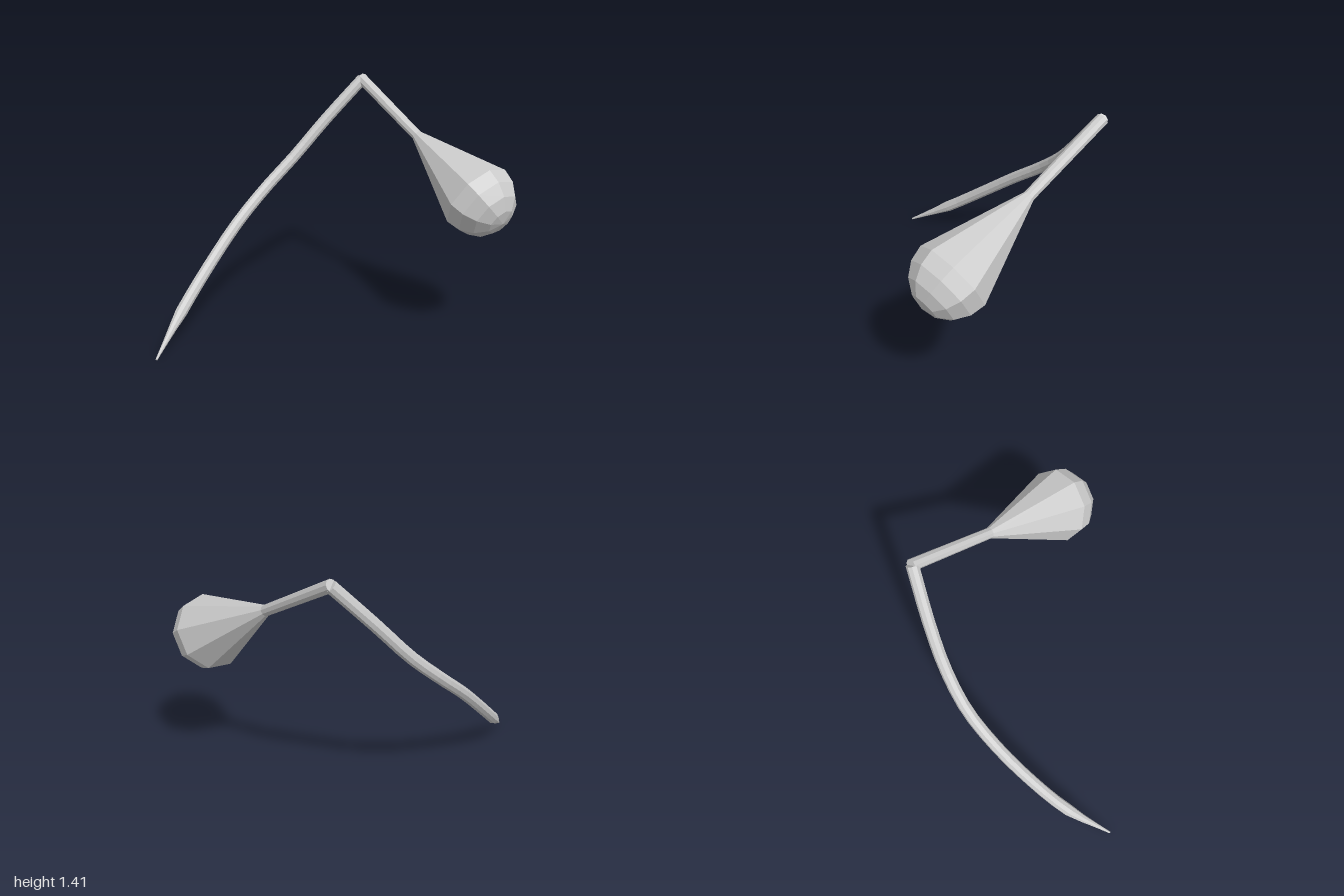
import * as THREE from 'three';

const SIDES = 9;
const V = (x, y, z) => new THREE.Vector3(x, y, z);

export function createModel() {
  const group = new THREE.Group();
  const material = new THREE.MeshStandardMaterial({ color: 0xcccccc, flatShading: true });
  const add = (geometry, name) => {
    const mesh = new THREE.Mesh(geometry, material);
    mesh.name = name;
    group.add(mesh);
    return mesh;
  };

  // Curved stem: a nine-sided tube, sharpened to a point at its low end
  const path = new THREE.CatmullRomCurve3([
    V(-1, 0.006, 0.08), V(-0.81, 0.185, -0.13), V(-0.6, 0.39, -0.295), V(-0.4, 0.58, -0.42),
    V(-0.2, 0.75, -0.51), V(0, 0.925, -0.55), V(0.2, 1.135, -0.557), V(0.435, 1.375, -0.545),
  ]);
  const steps = 20, radius = 0.035;
  const stem = new THREE.TubeGeometry(path, steps, radius, SIDES);
  const taper = [0.16, 0.4, 0.68];
  const pos = stem.attributes.position, p = V();
  taper.forEach((scale, ring) => {
    const centre = path.getPointAt(ring / steps);
    for (let i = ring * (SIDES + 1); i < (ring + 1) * (SIDES + 1); i++) {
      p.fromBufferAttribute(pos, i).sub(centre).multiplyScalar(scale).add(centre);
      pos.setXYZ(i, p.x, p.y, p.z);
    }
  });
  stem.computeVertexNormals();
  add(stem, 'curvedStem');

  // Flat caps on both stem ends
  [[0, -1, radius * taper[0], 'stemTipCap'], [1, 1, radius, 'stemTopCap']].forEach(([u, dir, r, name]) => {
    const cap = add(new THREE.CircleGeometry(r, SIDES), name);
    cap.position.copy(path.getPointAt(u));
    cap.quaternion.setFromUnitVectors(V(0, 0, 1), path.getTangentAt(u).multiplyScalar(dir));
  });

  // Club: straight arm, cone flaring from the neck, round end
  const top = V(0.435, 1.375, -0.545), neck = V(0.605, 1.115, -0.085);
  const armLength = top.distanceTo(neck);
  const bulbY = armLength + 0.555, bulbR = 0.215;
  const profile = [[0, -0.01], [0.034, -0.01], [0.031, armLength]];
  for (let i = 0; i <= 4; i++) {
    const a = (i / 4) * Math.PI / 2;
    profile.push([i === 4 ? 0 : bulbR * Math.cos(a), bulbY + bulbR * Math.sin(a)]);
  }
  const club = add(new THREE.LatheGeometry(profile.map(([r, y]) => new THREE.Vector2(r, y)), SIDES), 'hangingClub');

  // Turn the club along the arm, with one edge facing a set direction
  const axis = neck.clone().sub(top).normalize();
  const edge = V(-0.81, 0, 0.58).projectOnPlane(axis).normalize().applyAxisAngle(axis, 0.09);
  const side = axis.clone().cross(edge);
  club.quaternion.setFromRotationMatrix(new THREE.Matrix4().makeBasis(side, axis, edge));
  club.position.copy(top);

  return group;
}
